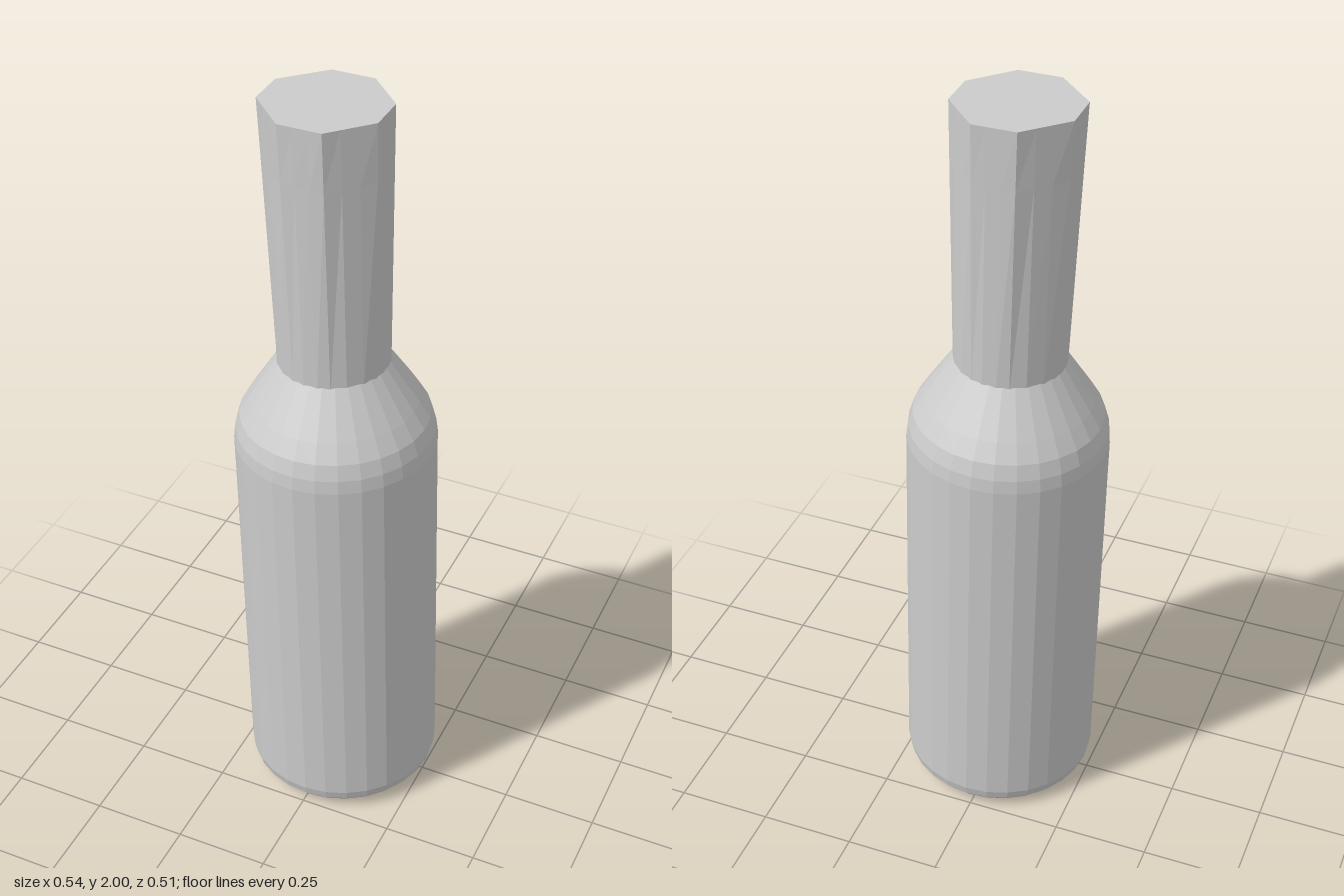
import * as THREE from 'three';

const TILT = 0.023;
const material = new THREE.MeshStandardMaterial({ color: 0xcccccc, flatShading: true });

// Round body with bevelled foot and sloping shoulder, leaning slightly
function createBody() {
  const profile = [
    [0, 0], [0.205, 0], [0.235, 0.012], [0.25, 0.03], [0.256, 0.055],
    [0.256, 1.08], [0.252, 1.115], [0.24, 1.155], [0.213, 1.2], [0.14, 1.312],
  ].map(([r, y]) => new THREE.Vector2(r, y));
  const body = new THREE.Mesh(new THREE.LatheGeometry(profile, 28), material);
  body.name = 'bottleBody';
  body.position.set(0.011, 0.005, 0);
  body.rotation.z = TILT;
  return body;
}

// Neck lofted from a circle at the shoulder to an octagon at the mouth
function createNeck() {
  const octagon = [
    [0.112, -0.05], [0.112, 0.05], [0.02, 0.147], [-0.09, 0.147],
    [-0.188, 0.05], [-0.188, -0.05], [-0.09, -0.147], [0.02, -0.147],
  ];
  const perSide = 3, count = octagon.length * perSide, topX = -0.037;
  const rings = [[1.3, 0], [1.85, 0.78], [2, 1]]; // height, blend to octagon
  const positions = [], index = [];

  for (const [y, blend] of rings) {
    for (let i = 0; i < count; i++) {
      const side = Math.floor(i / perSide), t = (i % perSide) / perSide;
      const a = octagon[side], b = octagon[(side + 1) % octagon.length];
      const x = THREE.MathUtils.lerp(a[0], b[0], t);
      const z = THREE.MathUtils.lerp(a[1], b[1], t);
      const angle = Math.atan2(z, x - topX);
      positions.push(
        THREE.MathUtils.lerp(-0.019 + 0.141 * Math.cos(angle), x, blend), y,
        THREE.MathUtils.lerp(0.141 * Math.sin(angle), z, blend));
    }
  }
  for (let r = 0; r < rings.length - 1; r++) {
    for (let i = 0; i < count; i++) {
      const a = r * count + i, b = r * count + (i + 1) % count;
      index.push(a, a + count, b, b, a + count, b + count);
    }
  }
  // Flat mouth cap
  const centre = positions.length / 3, top = (rings.length - 1) * count;
  positions.push(topX, 2, 0);
  for (let i = 0; i < count; i++) index.push(centre, top + (i + 1) % count, top + i);

  const geometry = new THREE.BufferGeometry();
  geometry.setAttribute('position', new THREE.Float32BufferAttribute(positions, 3));
  geometry.setIndex(index);
  const flat = geometry.toNonIndexed();
  flat.computeVertexNormals();
  const neck = new THREE.Mesh(flat, material);
  neck.name = 'bottleNeck';
  return neck;
}

export function createModel() {
  const model = new THREE.Group();
  model.name = 'bottle';
  model.add(createBody(), createNeck());
  return model;
}
